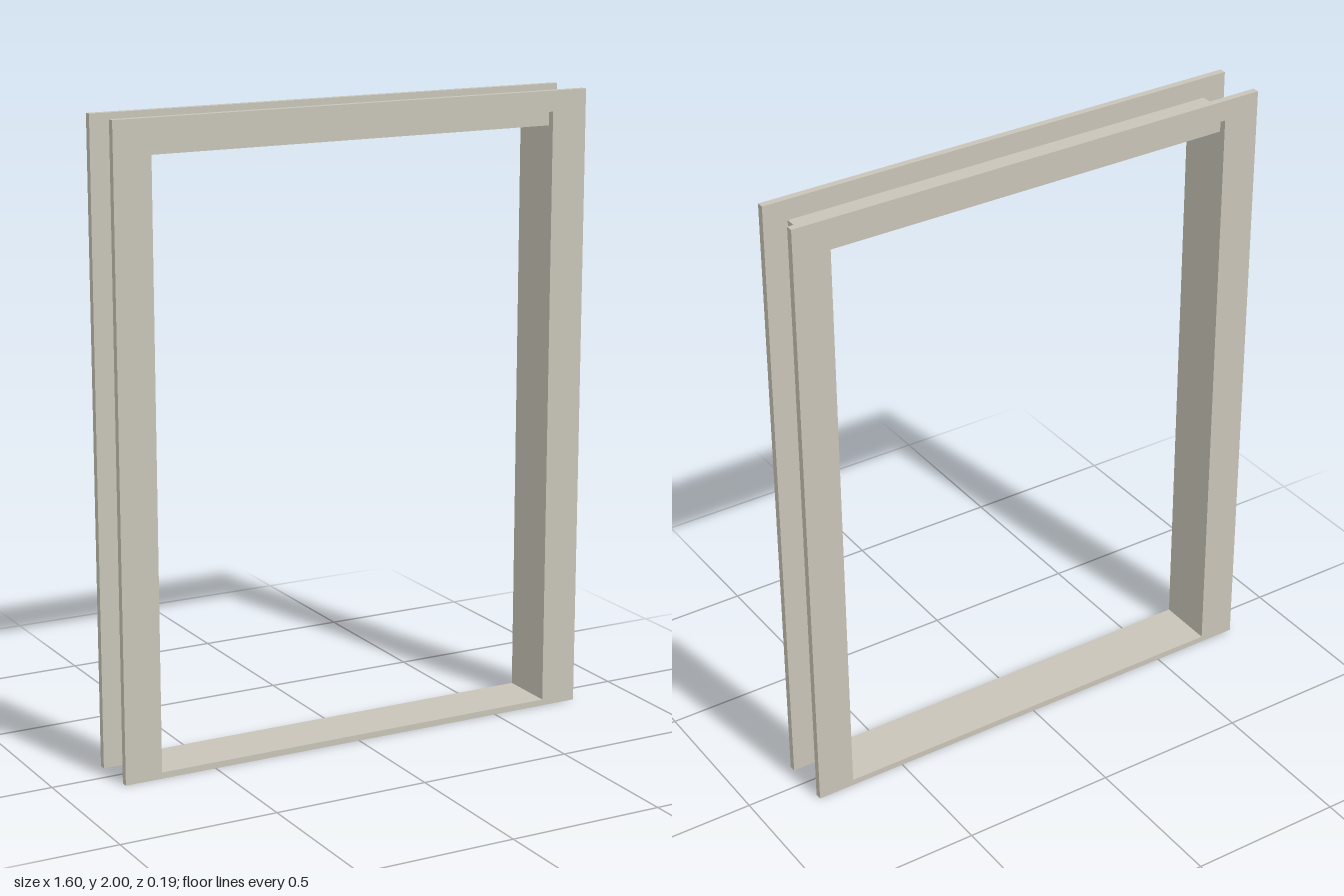
import * as THREE from 'three';

// Rectangular ring: outer half width and top, shared opening, extruded along z
function ring(halfW, top, open, depth) {
  const shape = new THREE.Shape([
    new THREE.Vector2(-halfW, 0), new THREE.Vector2(halfW, 0),
    new THREE.Vector2(halfW, top), new THREE.Vector2(-halfW, top),
  ]);
  shape.holes.push(new THREE.Path([
    new THREE.Vector2(-open.w, open.bottom), new THREE.Vector2(-open.w, open.top),
    new THREE.Vector2(open.w, open.top), new THREE.Vector2(open.w, open.bottom),
  ]));
  return new THREE.ExtrudeGeometry(shape, { depth, bevelEnabled: false });
}

export function createModel() {
  const model = new THREE.Group();
  model.name = 'doorFrame';
  const paint = new THREE.MeshStandardMaterial({ color: 0xc8c4b8 });
  paint.name = 'warm grey paint';

  const add = (name, geometry, x, y, z) => {
    const mesh = new THREE.Mesh(geometry, paint);
    mesh.name = name;
    mesh.position.set(x, y, z);
    model.add(mesh);
  };

  const halfDepth = 0.093, thick = 0.022, inner = halfDepth - thick;
  const headTop = 1.935, headBottom = 1.89, sillTop = 0.02;
  const openW = 0.68, coreW = 0.722;

  // Thin face casings, front and back
  const casing = ring(0.8, 2, { w: openW, bottom: sillTop, top: headTop }, thick);
  add('frontCasing', casing, 0, 0, inner);
  add('backCasing', casing, 0, 0, -halfDepth);

  // Recessed core between the casings: jambs, head and sill in one ring
  const core = ring(coreW, headTop, { w: openW, bottom: sillTop, top: headBottom }, inner * 2);
  add('jambsHeadAndSill', core, 0, 0, -inner);

  return model;
}
